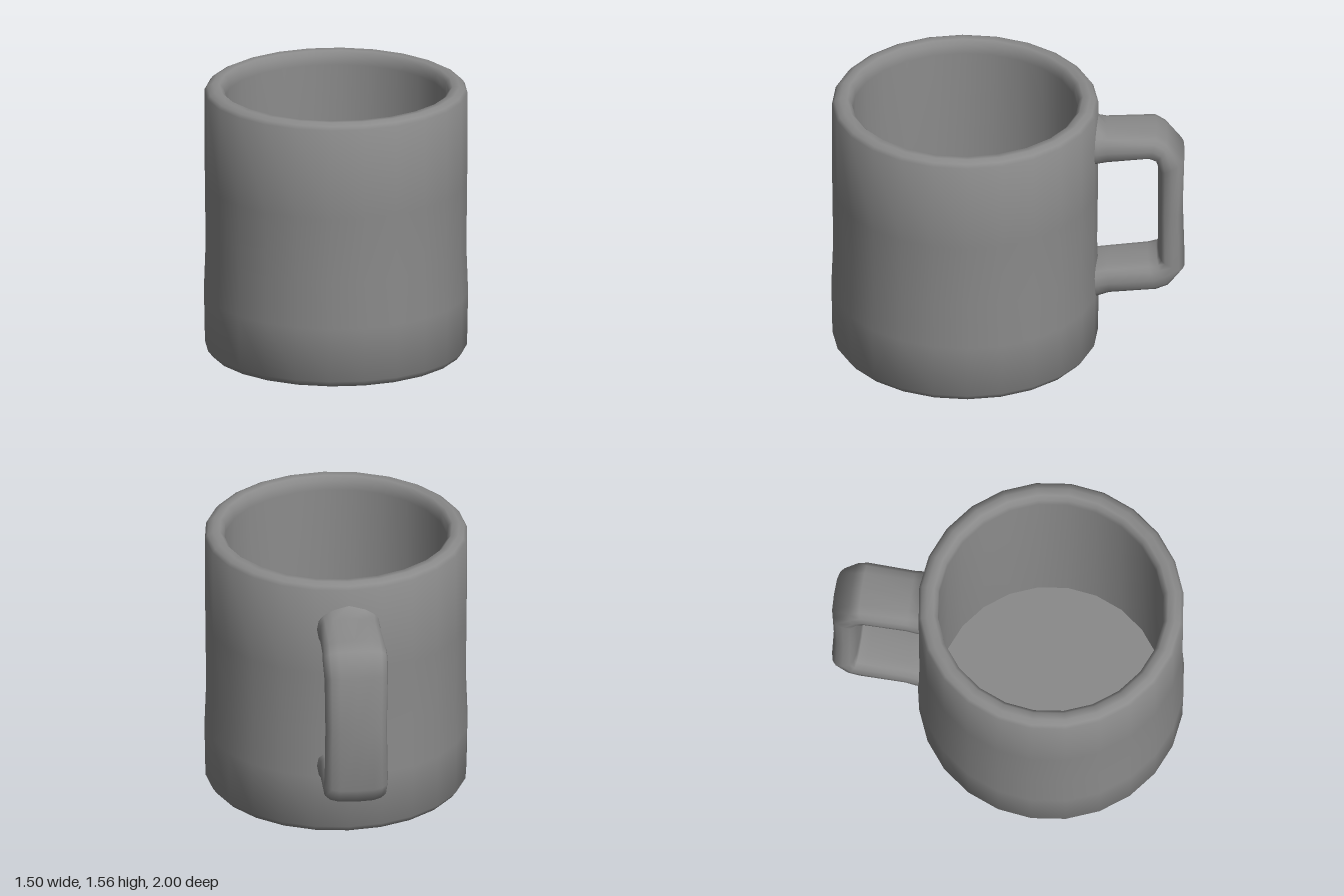
import * as THREE from 'three';
import { toCreasedNormals } from 'three/addons/utils/BufferGeometryUtils.js';

const CENTER_Z = 0.242;

// Cup wall, rim, inside and base as one turned profile [radius, height]
function createCup(material) {
  const profile = [
    [0, 0], [0.62, 0], [0.715, 0], [0.742, 0.035], [0.748, 0.35], [0.738, 0.62], [0.743, 1.0],
    [0.745, 1.525], [0.73, 1.545], [0.70, 1.56], [0.66, 1.558], [0.637, 1.535],
    [0.632, 1.48], [0.632, 0.11], [0, 0.11],
  ].map(([r, y]) => new THREE.Vector2(r, y));
  const turned = new THREE.LatheGeometry(profile, 24);
  turned.scale(1, 1, 1.012); // slightly deeper than wide
  const cup = new THREE.Mesh(toCreasedNormals(turned, 1.0), material);
  cup.name = 'cup';
  cup.position.z = CENTER_Z;
  return cup;
}

// Strap handle: rounded cross-sections spanning outer and inner edge points
function createHandle(material) {
  // [outer z, outer y, inner z, inner y, half width, flare of the outer middle]
  const sections = [
    [-0.45, 1.38, -0.45, 1.18, 0.18, 0.08],
    [-0.51, 1.37, -0.49, 1.18, 0.18, 0.06],
    [-0.56, 1.37, -0.56, 1.19, 0.175, 0],
    [-0.84, 1.37, -0.79, 1.215, 0.182, 0],
    [-0.90, 1.33, -0.83, 1.20, 0.185, 0],
    [-1.00, 1.21, -0.85, 1.13, 0.18, 0],
    [-0.99, 0.86, -0.85, 0.86, 0.175, 0],
    [-1.00, 0.50, -0.85, 0.57, 0.18, 0],
    [-0.91, 0.39, -0.84, 0.55, 0.182, 0],
    [-0.84, 0.36, -0.79, 0.54, 0.18, 0],
    [-0.57, 0.34, -0.56, 0.52, 0.175, 0],
    [-0.51, 0.33, -0.49, 0.51, 0.18, -0.05],
    [-0.45, 0.32, -0.45, 0.50, 0.18, -0.08],
  ];
  const sides = 16;
  const soften = (v) => Math.sign(v) * Math.pow(Math.abs(v), 0.65);
  const positions = [];
  const indices = [];
  sections.forEach(([oz, oy, iz, iy, halfWidth, flare], i) => {
    for (let j = 0; j < sides; j++) {
      const angle = (j / sides) * Math.PI * 2;
      const c = soften(Math.cos(angle));
      const s = soften(Math.sin(angle));
      const lift = flare * Math.max(0, s) * (1 - Math.abs(c));
      positions.push(
        halfWidth * c,
        (oy + iy) / 2 + (s * (oy - iy)) / 2 + lift,
        (oz + iz) / 2 + (s * (oz - iz)) / 2,
      );
      if (i < sections.length - 1) {
        const a = i * sides + j;
        const b = i * sides + ((j + 1) % sides);
        indices.push(a, a + sides, b, b, a + sides, b + sides);
      }
    }
  });
  const geometry = new THREE.BufferGeometry();
  geometry.setAttribute('position', new THREE.Float32BufferAttribute(positions, 3));
  geometry.setIndex(indices);
  geometry.computeVertexNormals();
  const handle = new THREE.Mesh(geometry, material);
  handle.name = 'handle';
  return handle;
}

export function createModel() {
  const ceramic = new THREE.MeshStandardMaterial({ color: 0x8a8a8a });
  ceramic.name = 'grey ceramic';
  const mug = new THREE.Group();
  mug.name = 'mug';
  mug.add(createCup(ceramic), createHandle(ceramic));
  return mug;
}
